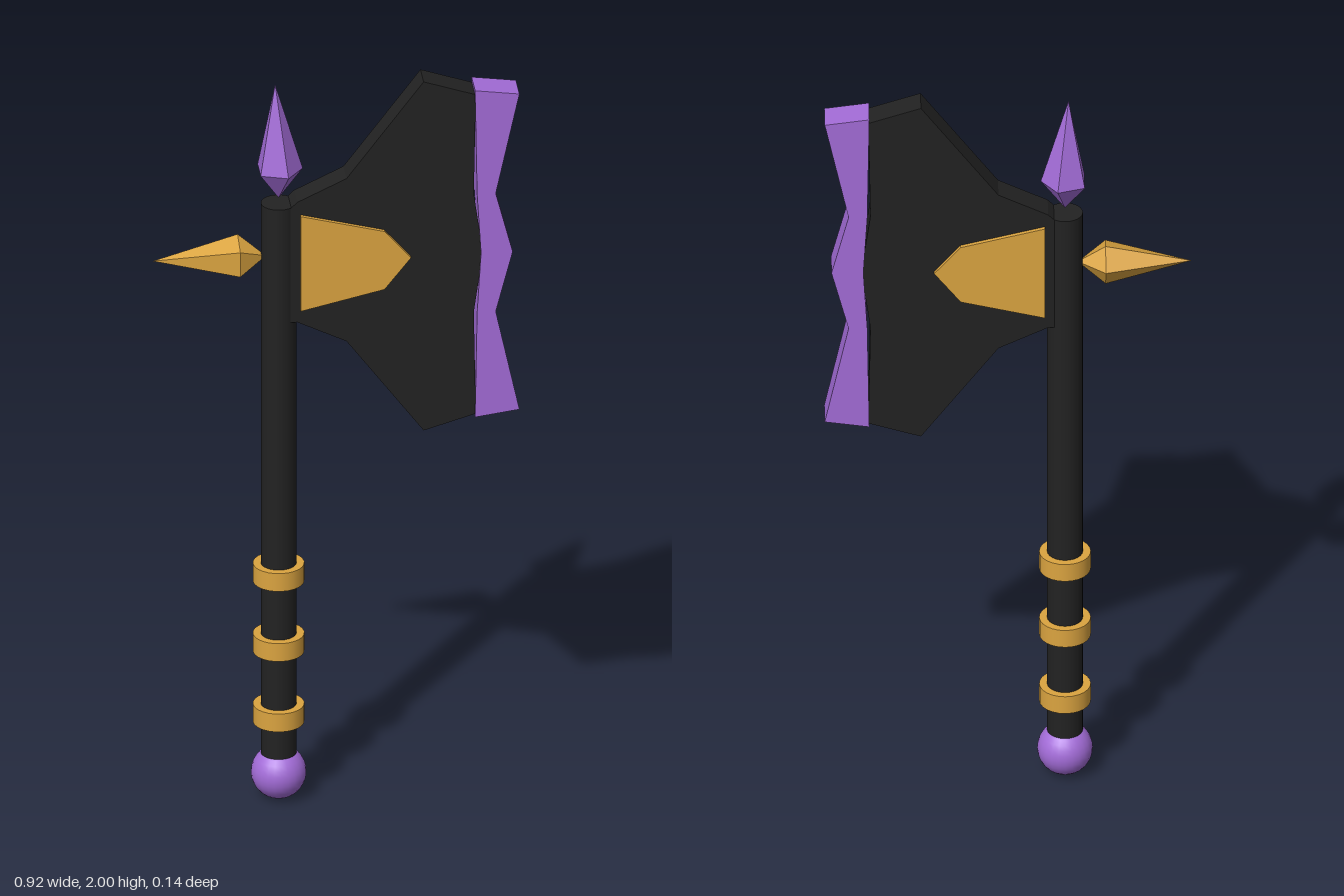
import * as THREE from 'three';

const mat = (name, color, flatShading = false) => {
  const m = new THREE.MeshStandardMaterial({ color, flatShading });
  m.name = name;
  return m;
};

export function createModel() {
  const group = new THREE.Group();
  group.name = 'battleAxe';
  const black = mat('black', 0x222222);
  const gold = mat('gold', 0xdba440);
  const purple = mat('purple', 0xa36cd8);
  // facets of the crystals need hard edges
  const faceted = (g) => {
    const f = g.toNonIndexed();
    f.computeVertexNormals();
    return f;
  };

  const shaftX = -0.143;
  const add = (name, geometry, material, x = 0, y = 0, z = 0) => {
    const mesh = new THREE.Mesh(geometry, material);
    mesh.name = name;
    mesh.position.set(x, y, z);
    group.add(mesh);
    return mesh;
  };

  // Flat outline extruded evenly about z = 0
  const plate = (points, halfDepth) => {
    const shape = new THREE.Shape(points.map(([x, y]) => new THREE.Vector2(x, y)));
    const g = new THREE.ExtrudeGeometry(shape, { depth: halfDepth * 2, bevelEnabled: false });
    return g.translate(0, 0, -halfDepth);
  };

  // Five-sided double-pointed crystal standing on its short point
  const crystal = (radius, waist, height, start, lean = 0) => {
    const profile = [[0, 0], [radius, waist], [0, height]].map(([x, y]) => new THREE.Vector2(x, y));
    const g = new THREE.LatheGeometry(profile, 5, start);
    const p = g.attributes.position;
    for (let i = 0; i < p.count; i++) {
      if (p.getY(i) > height - 0.001) p.setX(i, p.getX(i) + lean);
    }
    return faceted(g);
  };

  // Shaft, grip bands and pommel
  add('shaft', new THREE.CylinderGeometry(0.045, 0.045, 1.585, 24), black, shaftX, 0.8725);
  [0.24, 0.437, 0.633].forEach((y, i) =>
    add(`gripBand${i + 1}`, new THREE.CylinderGeometry(0.065, 0.065, 0.05, 24), gold, shaftX, y));
  add('pommel', new THREE.SphereGeometry(0.07, 24, 16), purple, shaftX, 0.075);

  // Blade body
  add('blade', plate([
    [-0.12, 1.345], [-0.1, 1.345], [0.025, 1.285], [0.22, 1.025], [0.352, 1.065],
    [0.347, 1.35], [0.37, 1.515], [0.347, 1.68],
    [0.352, 1.957], [0.22, 2.0], [0.025, 1.74], [-0.1, 1.68], [-0.12, 1.66],
  ], 0.036), black);

  // Cutting edge
  add('cuttingEdge', plate([
    [0.35, 1.057], [0.462, 1.073], [0.402, 1.35], [0.445, 1.515], [0.402, 1.68],
    [0.462, 1.955], [0.35, 1.97], [0.355, 1.68], [0.365, 1.515], [0.355, 1.35],
  ], 0.04), purple);

  // Gold inlay showing on both blade faces
  add('bladeInlay', plate([
    [-0.092, 1.38], [0.12, 1.43], [0.187, 1.515], [0.12, 1.592], [-0.092, 1.645],
  ], 0.047), gold);

  // Top crystal and rear spike
  add('topCrystal', crystal(0.061, 0.08, 0.318, Math.PI / 2, -0.009), purple, shaftX, 1.678);
  const spike = crystal(0.058, 0.07, 0.287, Math.PI);
  spike.rotateZ(Math.PI / 2);
  add('rearSpike', spike, gold, -0.175, 1.518);

  return group;
}
